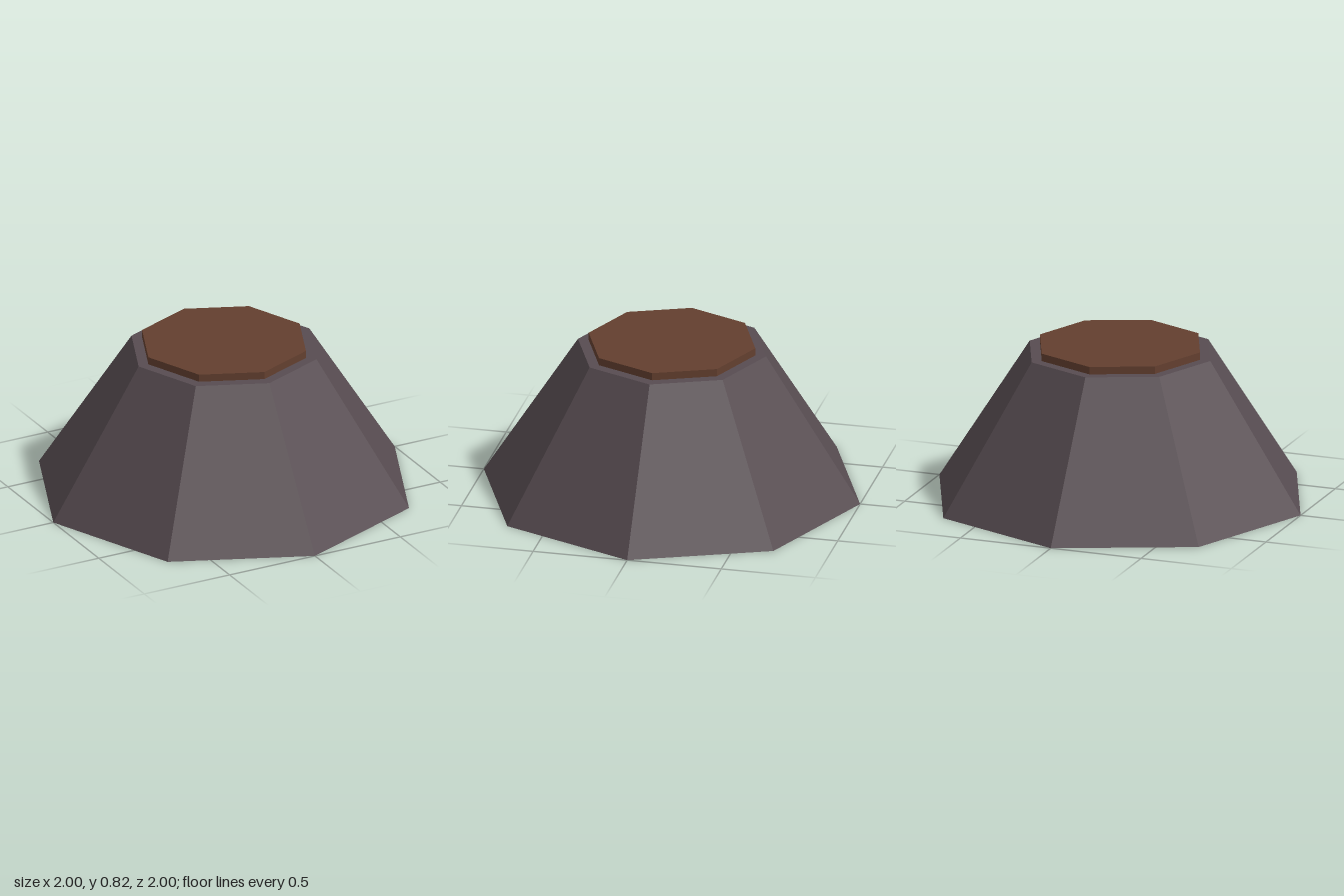
import * as THREE from 'three';

const stone = new THREE.MeshStandardMaterial({ name: 'dark stone', color: 0x574c51 });
const earth = new THREE.MeshStandardMaterial({ name: 'brown earth', color: 0x633f2f });
stone.flatShading = earth.flatShading = true;

// Eight-sided tapered block standing between two heights, corners on the axes
function octagon(name, topRadius, bottomRadius, y0, y1, material) {
  const geometry = new THREE.CylinderGeometry(topRadius, bottomRadius, y1 - y0, 8);
  const mesh = new THREE.Mesh(geometry, material);
  mesh.name = name;
  mesh.position.y = (y0 + y1) / 2;
  return mesh;
}

export function createModel() {
  const group = new THREE.Group();
  group.name = 'octagonalMound';
  // Sloping base and the thin cap on its flat top
  group.add(octagon('base', 0.5, 1, 0, 0.78, stone));
  group.add(octagon('cap', 0.443, 0.443, 0.74, 0.82, earth));
  return group;
}
